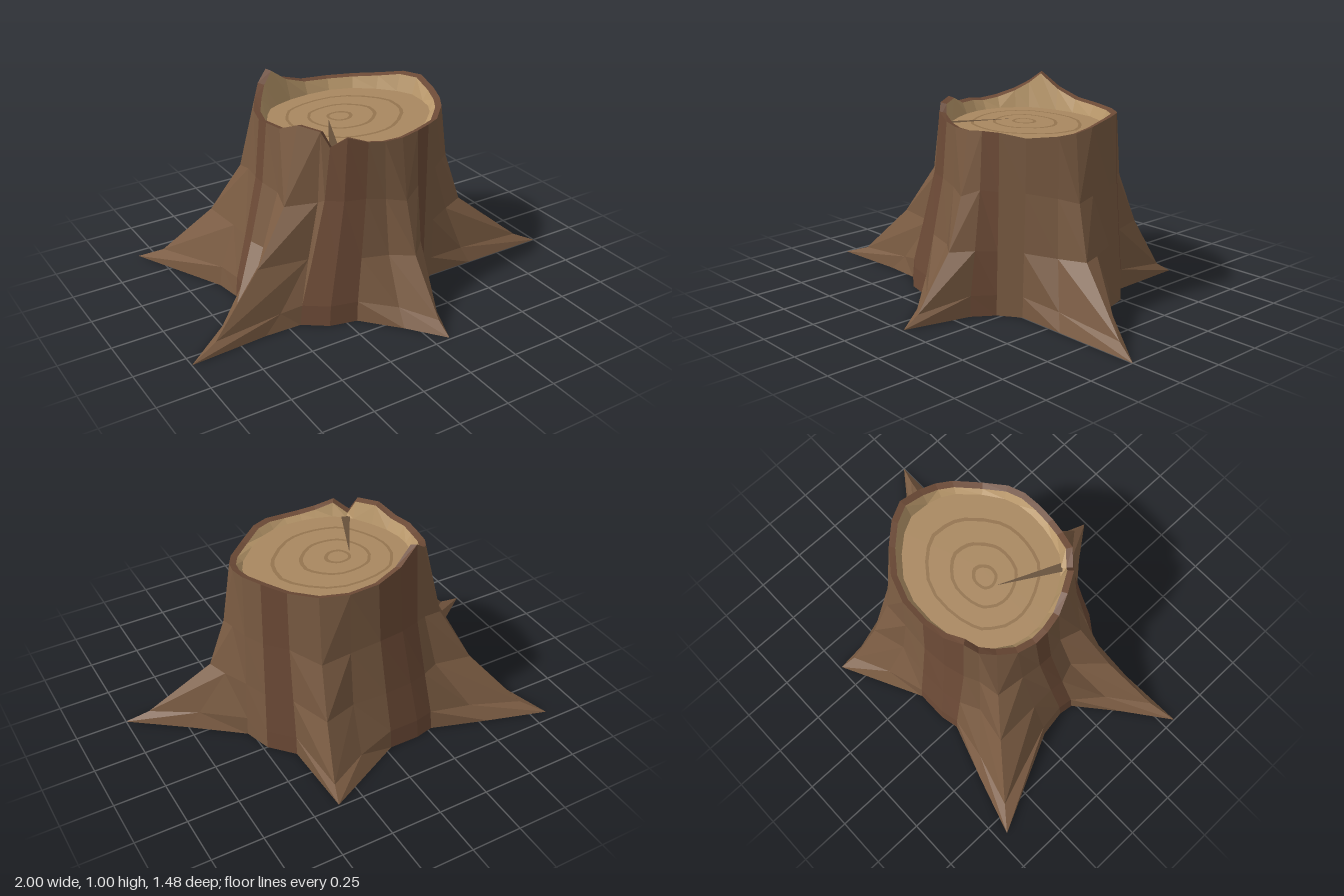
import * as THREE from 'three';

// One row per bark column, going round from +x towards +z:
// [base x, base z, rim x, rim z, rim y]
const COLUMNS = [
  [1.0, 0.25, 0.48, 0.07, 0.86],
  [0.57, 0.25, 0.44, 0.14, 0.85],
  [0.33, 0.25, 0.34, 0.24, 0.84],
  [0.23, 0.32, 0.24, 0.31, 0.86],
  [0.16, 0.42, 0.16, 0.34, 0.86],
  [0.08, 0.74, 0.07, 0.35, 0.85],
  [-0.05, 0.57, -0.02, 0.345, 0.85],
  [-0.2, 0.4, -0.1, 0.33, 0.86],
  [-0.33, 0.37, -0.19, 0.3, 0.89],
  [-0.44, 0.29, -0.25, 0.25, 0.84],
  [-0.62, 0.285, -0.28, 0.22, 0.91],
  [-1.0, 0.31, -0.34, 0.12, 0.92],
  [-0.79, 0.15, -0.38, 0.03, 0.88],
  [-0.59, -0.02, -0.4, -0.06, 0.88],
  [-0.58, -0.09, -0.4, -0.13, 0.87],
  [-0.6, -0.22, -0.38, -0.22, 0.88],
  [-0.83, -0.7, -0.33, -0.3, 0.91],
  [-0.54, -0.61, -0.28, -0.36, 0.95],
  [-0.27, -0.52, -0.22, -0.39, 1.0],
  [-0.18, -0.54, -0.12, -0.42, 0.93],
  [-0.03, -0.54, 0.0, -0.435, 0.89],
  [0.17, -0.64, 0.14, -0.43, 0.88],
  [0.37, -0.74, 0.27, -0.385, 0.88],
  [0.38, -0.36, 0.38, -0.3, 0.89],
  [0.48, -0.25, 0.46, -0.21, 0.91],
  [0.52, -0.12, 0.505, -0.12, 0.91],
  [0.76, 0.07, 0.5, -0.01, 0.88],
];
const N = COLUMNS.length;
const CENTRE = [0.05, -0.05];
const DISC_Y = 0.82;

// Root ridges: column index -> how far the ridge still reaches out at y = 0.3
const RIDGES = { 0: 0.22, 5: 0.31, 11: 0.4, 16: 0.38, 22: 0.4 };
const FLANKS = [1, 6, 10, 12, 17, 21, 26];
const RED_STRIPS = [3, 7, 8, 13, 18, 19, 23];

// Height and outward reach of each cross-section for one column
function profile(i) {
  const r = RIDGES[i];
  if (r) return [[0, 1], [0.05, 0.79], [0.3, r], [0.55, r * 0.35]];
  if (FLANKS.includes(i)) return [[0, 1], [0.08, 0.74], [0.3, 0.24], [0.57, 0.06]];
  return [[0, 1], [0.1, 0.94], [0.31, 0.6], [0.59, 0.18]];
}

// Cross-section loops from the ground to the rim
function barkLoops() {
  const loops = [0, 1, 2, 3].map((level) =>
    COLUMNS.map(([bx, bz, tx, tz], i) => {
      const [y, f] = profile(i)[level];
      return [tx + (bx - tx) * f, y, tz + (bz - tz) * f];
    }));
  loops.push(COLUMNS.map(([, , x, z, y]) => [x, y, z]));
  return loops;
}

// Rim outline shrunk towards a centre, at a fixed height or at the rim's own
function outline(scale, y, [cx, cz] = CENTRE) {
  return COLUMNS.map(([, , x, z, ty]) =>
    [cx + (x - cx) * scale, y ?? ty, cz + (z - cz) * scale]);
}

// Skins successive loops; keep() selects the strips to include
function skin(name, color, loops, keep = () => true) {
  const pos = [];
  for (let l = 0; l < loops.length - 1; l++) {
    for (let i = 0; i < N; i++) {
      if (!keep(i)) continue;
      const j = (i + 1) % N;
      const a = loops[l][i], b = loops[l][j], c = loops[l + 1][j], d = loops[l + 1][i];
      // the diagonal leans towards the root ridge
      if (j in RIDGES) pos.push(...a, ...d, ...b, ...d, ...c, ...b);
      else pos.push(...a, ...d, ...c, ...a, ...c, ...b);
    }
  }
  return surface(name, color, pos);
}

function surface(name, color, pos) {
  const geometry = new THREE.BufferGeometry();
  geometry.setAttribute('position', new THREE.Float32BufferAttribute(pos, 3));
  geometry.computeVertexNormals();
  const mesh = new THREE.Mesh(geometry, new THREE.MeshStandardMaterial({ color, flatShading: true }));
  mesh.name = name;
  return mesh;
}

export function createModel() {
  const stump = new THREE.Group();
  stump.name = 'treeStump';

  // Bark with flaring roots, in two tones
  const bark = barkLoops();
  const isRed = (i) => RED_STRIPS.includes(i);
  stump.add(skin('bark', 0x7a5b42, bark, (i) => !isRed(i)));
  stump.add(skin('reddishBark', 0x6c4a36, bark, isRed));

  // Flat underside
  stump.add(skin('underside', 0x5a432f, [outline(0, 0), bark[0]]));

  // Broken bark rim, pale inner wall and cut face
  const inner = outline(0.93).map(([x, y, z]) => [x, y - 0.008, z]);
  stump.add(skin('barkRim', 0x6c4a36, [bark[4], inner]));
  stump.add(skin('innerWall', 0xb8976a, [inner, outline(0.87, DISC_Y)]));
  stump.add(skin('cutFace', 0xa98860, [outline(0.87, DISC_Y), outline(0, DISC_Y)]));

  // Growth rings
  const pith = [-0.01, -0.07];
  [0.63, 0.37, 0.14].forEach((s, k) => {
    const y = DISC_Y + 0.002;
    stump.add(skin(`growthRing${k + 1}`, 0x94744f, [outline(s, y, pith), outline(s - 0.035, y, pith)]));
  });

  // Drying crack, a thin wedge from the notch towards the pith
  const y = DISC_Y + 0.004;
  stump.add(surface('crack', 0x66503a, [-0.07, y, -0.06, -0.24, y, 0.225, -0.2, y, 0.245]));
  return stump;
}
